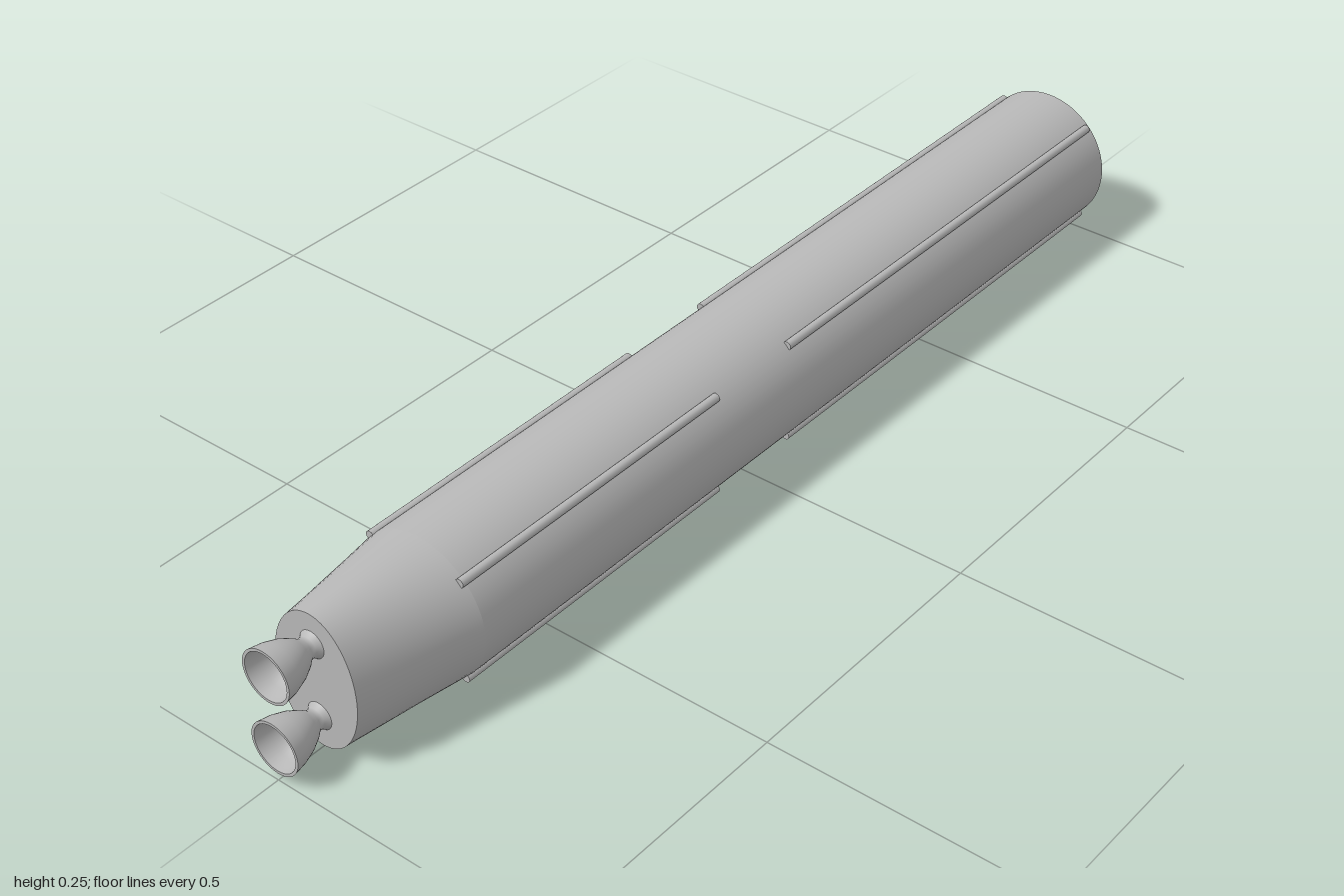
import * as THREE from 'three';

const R = 0.127, SHOULDER = 0.69, NOSE = 0.91;

export function createModel() {
  const model = new THREE.Group();
  model.name = 'rocketStage';
  const grey = new THREE.MeshStandardMaterial({ color: 0xb8b8b8, side: THREE.DoubleSide });
  grey.name = 'hull grey';

  const add = (name, geometry, x = 0, y = R, z = 0) => {
    const mesh = new THREE.Mesh(geometry, grey);
    mesh.name = name;
    mesh.position.set(x, y, z);
    model.add(mesh);
    return mesh;
  };
  // Lathe whose axis runs along +z; profile points are [radius, z]
  const lathe = (points, segments) =>
    new THREE.LatheGeometry(points.map(([r, z]) => new THREE.Vector2(r, z)), segments).rotateX(Math.PI / 2);

  // Main tube, open at the rear
  const tube = new THREE.CylinderGeometry(R, R, SHOULDER + 1, 64, 1, true).rotateX(Math.PI / 2);
  add('hullTube', tube, 0, R, (SHOULDER - 1) / 2);

  // Engine fairing: lofts from the round hull to an upright ellipse
  const fairing = new THREE.CylinderGeometry(R, R, NOSE - SHOULDER, 64, 6, true).rotateX(Math.PI / 2);
  const p = fairing.attributes.position;
  for (let i = 0; i < p.count; i++) {
    const t = p.getZ(i) / (NOSE - SHOULDER) + 0.5;
    p.setX(i, p.getX(i) * (1 - 0.354 * t));
    p.setY(i, p.getY(i) * (1 - 0.025 * t));
  }
  fairing.computeVertexNormals();
  add('engineFairing', fairing, 0, R, (SHOULDER + NOSE) / 2);

  // Flat bulkhead carrying the engines
  add('engineBulkhead', new THREE.CircleGeometry(R, 64).scale(0.646, 0.975, 1), 0, R, NOSE);

  // Tank dome recessed in the open end, bulging rearward
  const dome = [];
  for (let i = 0; i <= 8; i++) {
    const a = (i / 8) * Math.PI / 2;
    dome.push([0.126 * Math.sin(a), -0.055 * Math.cos(a)]);
  }
  add('tankDome', lathe(dome, 10), 0, R, -0.85);

  // Two engine bells: outer skin, lip, inner skin and throat disc
  const outer = [[0.024, 0], [0.018, 0.008], [0.018, 0.016], [0.027, 0.028], [0.036, 0.045], [0.043, 0.066], [0.047, 0.09]];
  const inner = [[0.042, 0.09], [0.038, 0.066], [0.031, 0.045], [0.017, 0.024]];
  for (const y of [0.06, 0.195]) {
    add('engineBell', lathe(outer, 40), 0, y, NOSE);
    add('engineLip', new THREE.RingGeometry(0.042, 0.047, 40), 0, y, 1);
    add('engineInnerBell', lathe(inner, 40), 0, y, NOSE);
    add('engineThroat', new THREE.CircleGeometry(0.017, 40), 0, y, NOSE + 0.024);
  }

  // Conduits along the four diagonals, in a front and a rear run
  for (const [z0, z1] of [[-0.99, -0.08], [0.105, 0.7]]) {
    for (const sx of [-1, 1]) for (const sy of [-1, 1]) {
      const rod = new THREE.CylinderGeometry(0.008, 0.008, z1 - z0, 12).rotateX(Math.PI / 2);
      add('conduit', rod, sx * 0.09, R + sy * 0.09, (z0 + z1) / 2);
    }
  }
  return model;
}
